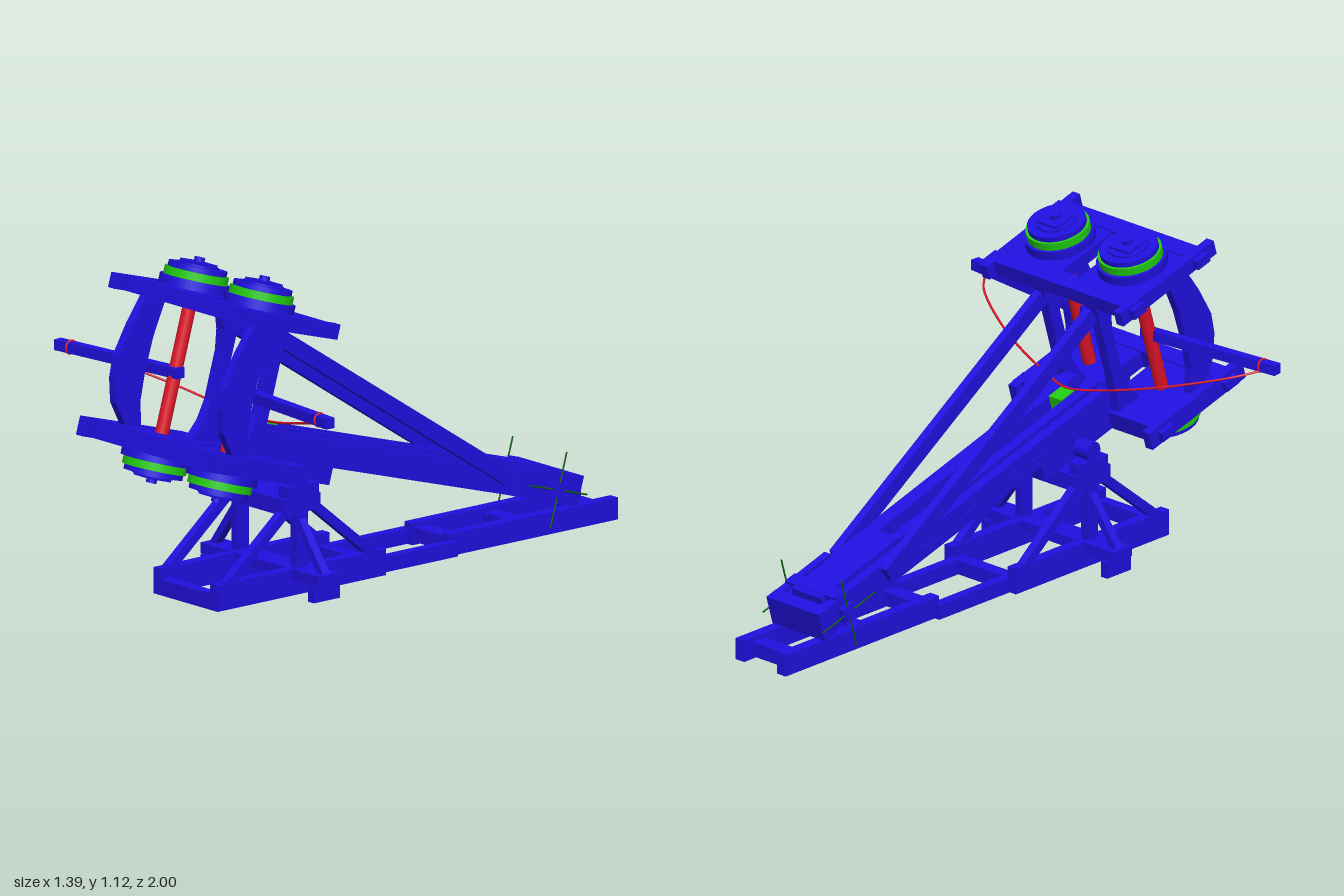
import * as THREE from 'three';

const blue = new THREE.MeshStandardMaterial({ color: 0x2010e0 });
const green = new THREE.MeshStandardMaterial({ color: 0x22cc11 });
const darkGreen = new THREE.MeshStandardMaterial({ color: 0x0a6010 });
const red = new THREE.MeshStandardMaterial({ color: 0xe01428 });

function add(parent, name, geometry, material = blue) {
  const mesh = new THREE.Mesh(geometry, material);
  mesh.name = name;
  parent.add(mesh);
  return mesh;
}

// Box given by its extents on each axis
function box(parent, name, [x0, x1], [y0, y1], [z0, z1], material) {
  const mesh = add(parent, name, new THREE.BoxGeometry(x1 - x0, y1 - y0, z1 - z0), material);
  mesh.position.set((x0 + x1) / 2, (y0 + y1) / 2, (z0 + z1) / 2);
  return mesh;
}

// The same box on the left and the right
function pair(parent, name, [x0, x1], y, z, material) {
  box(parent, name + 'Left', [x0, x1], y, z, material);
  box(parent, name + 'Right', [-x1, -x0], y, z, material);
}

// Straight timber between two points
function beam(parent, name, a, b, w, h) {
  const p = new THREE.Vector3(...a), q = new THREE.Vector3(...b);
  const mesh = add(parent, name, new THREE.BoxGeometry(w, h, p.distanceTo(q)));
  mesh.position.copy(p).lerp(q, 0.5);
  mesh.lookAt(q);
}

function cylinder(parent, name, r, y0, y1, x, z, material, sides = 32) {
  const mesh = add(parent, name, new THREE.CylinderGeometry(r, r, y1 - y0, sides), material);
  mesh.position.set(x, (y0 + y1) / 2, z);
  return mesh;
}

// Upright board cut from a side profile of [z, y] points
function board(parent, name, points, x0, x1) {
  const shape = new THREE.Shape(points.map(p => new THREE.Vector2(...p)));
  const mesh = add(parent, name, new THREE.ExtrudeGeometry(shape, { depth: x1 - x0, bevelEnabled: false }));
  mesh.rotation.y = -Math.PI / 2;
  mesh.position.x = x1;
}

function buildBase(root) {
  const base = new THREE.Group();
  base.name = 'base';
  root.add(base);
  pair(base, 'frontRail', [0.125, 0.163], [0, 0.09], [0.06, 0.8]);
  pair(base, 'middleRail', [0.1, 0.135], [0, 0.052], [-0.28, 0.08]);
  pair(base, 'rearRail', [0.075, 0.115], [0, 0.075], [-1, -0.26]);
  box(base, 'frontCrosspiece', [-0.163, 0.163], [0, 0.055], [0.76, 0.8]);
  box(base, 'middleCrosspiece', [-0.163, 0.163], [0, 0.05], [0.06, 0.11]);
  for (const z of [-0.3, -0.6, -0.93])
    box(base, 'rearCrosspiece', [-0.08, 0.08], [0.01, 0.06], [z - 0.03, z + 0.03]);

  // Outrigger with feet
  box(base, 'outrigger', [-0.3, 0.3], [0.055, 0.092], [0.385, 0.475]);
  pair(base, 'outriggerFoot', [0.258, 0.287], [0, 0.056], [0.37, 0.485]);

  // Stand: posts, struts and the head that carries the pivot
  pair(base, 'standPost', [0.135, 0.165], [0.09, 0.3], [0.405, 0.455]);
  box(base, 'standHead', [-0.165, 0.165], [0.28, 0.335], [0.35, 0.515]);
  pair(base, 'pivotCheek', [0.125, 0.168], [0.28, 0.375], [0.36, 0.5]);
  for (const s of [-1, 1]) {
    beam(base, 'frontStrut', [s * 0.147, 0.08, 0.75], [s * 0.147, 0.3, 0.48], 0.03, 0.032);
    beam(base, 'rearStrut', [s * 0.147, 0.08, 0.11], [s * 0.147, 0.3, 0.38], 0.03, 0.032);
    beam(base, 'sideStrut', [s * 0.28, 0.08, 0.43], [s * 0.155, 0.25, 0.43], 0.03, 0.026);
  }
  const pivot = cylinder(base, 'pivot', 0.033, -0.168, 0.168, 0, 0.43, blue, 20);
  pivot.rotation.z = Math.PI / 2;
  pivot.position.y = 0.405;
}

function buildStock(tilted) {
  const stock = new THREE.Group();
  stock.name = 'stock';
  tilted.add(stock);
  pair(stock, 'stockSide', [0.065, 0.105], [0.03, 0.12], [-1.28, 0.175]);
  box(stock, 'stockFloor', [-0.07, 0.07], [0.03, 0.075], [-1.28, 0.175]);
  pair(stock, 'grooveRail', [0.03, 0.068], [0.07, 0.136], [-1.2, 0.175]);
  box(stock, 'slider', [-0.068, 0.068], [0.09, 0.14], [-1.22, -0.83]);
  box(stock, 'headBlock', [-0.105, 0.105], [-0.028, 0.03], [-0.185, 0.16]);
  box(stock, 'claw', [-0.028, 0.028], [0.075, 0.14], [0.03, 0.1], green);
  for (const z of [-0.2, -0.31, -0.53, -0.75])
    box(stock, 'stockTenon', [-0.11, 0.11], [0.055, 0.075], [z - 0.028, z + 0.028]);

  // Windlass with crossed hand spikes
  box(stock, 'tailBlock', [-0.12, 0.12], [0.027, 0.133], [-1.29, -1.24]);
  pair(stock, 'windlassCheek', [0.09, 0.118], [0.03, 0.133], [-1.25, -1.0]);
  box(stock, 'windlass', [-0.14, 0.14], [0.05, 0.1], [-1.2, -1.15]);
  box(stock, 'windlassCap', [-0.115, 0.115], [0.12, 0.142], [-1.2, -1.15]);
  for (const x of [-0.137, 0.137])
    for (const a of [0, Math.PI / 2])
      cylinder(stock, 'handSpike', 0.003, -0.055, 0.205, x, -1.175, darkGreen, 6).rotation.x = a;
}

function buildFrame(tilted) {
  const frame = new THREE.Group();
  frame.name = 'springFrame';
  tilted.add(frame);

  // Lower and upper decks, each with washers facing away from the frame
  for (const [y0, y1, dir, label] of [[-0.028, 0.037, -1, 'lower'], [0.474, 0.526, 1, 'upper']]) {
    const mid = (y0 + y1) / 2;
    pair(frame, label + 'SideBeam', [0.29, 0.322], [y0, y1], [0.12, 0.588]);
    pair(frame, label + 'Deck', [0.04, 0.29], [y0 + 0.004, y1 - 0.004], [0.17, 0.53]);
    for (const z of [0.187, 0.507]) {
      box(frame, label + 'CrossBeam', [-0.29, 0.29], [y0, y1], [z - 0.033, z + 0.033]);
      box(frame, label + 'Tenon', [-0.343, 0.343], [mid - 0.017, mid + 0.017], [z - 0.03, z + 0.03]);
    }
    for (const x of [-0.165, 0.165]) {
      const washer = new THREE.Group();
      washer.name = label + 'Washer';
      washer.position.set(x, dir > 0 ? y1 : y0, 0.355);
      if (dir < 0) washer.rotation.z = Math.PI;
      frame.add(washer);
      cylinder(washer, 'washerBase', 0.12, 0, 0.032, 0, 0);
      cylinder(washer, 'washerRing', 0.109, 0.032, 0.06, 0, 0, green);
      cylinder(washer, 'washerTop', 0.1, 0.06, 0.078, 0, 0);
      cylinder(washer, 'washerCap', 0.07, 0.078, 0.084, 0, 0);
      box(washer, 'washerPlate', [-0.045, 0.045], [0.08, 0.092], [-0.045, 0.045]);
      cylinder(washer, 'washerKnob', 0.018, 0.09, 0.107, 0, 0, blue, 16);
    }
  }

  // Curved outer uprights, flared inner uprights, twisted cord springs
  const outer = [[0.365, 0.03], [0.435, 0.03], [0.5, 0.1], [0.528, 0.18], [0.534, 0.255],
    [0.505, 0.37], [0.465, 0.48], [0.38, 0.48], [0.4, 0.34], [0.403, 0.22], [0.395, 0.12]];
  const inner = [[0.17, 0.03], [0.275, 0.03], [0.24, 0.1], [0.226, 0.17], [0.226, 0.34],
    [0.24, 0.41], [0.27, 0.48], [0.17, 0.48], [0.18, 0.4], [0.18, 0.1]];
  for (const s of [-1, 1]) {
    board(frame, 'outerUpright', outer, s > 0 ? 0.257 : -0.288, s > 0 ? 0.288 : -0.257);
    board(frame, 'innerUpright', inner, s > 0 ? 0.1 : -0.138, s > 0 ? 0.138 : -0.1);
    cylinder(frame, 'cordSpring', 0.023, -0.02, 0.51, s * 0.165, 0.355, red, 16);
  }
}

export function createModel() {
  const root = new THREE.Group();
  root.name = 'boltThrower';
  buildBase(root);

  // Stock and spring frame tilt together about the pivot
  const tilted = new THREE.Group();
  tilted.name = 'tiltedAssembly';
  tilted.position.set(0, 0.41, 0.43);
  tilted.rotation.x = -0.284;
  root.add(tilted);
  buildStock(tilted);
  buildFrame(tilted);

  for (const s of [-1, 1]) {
    beam(root, 'diagonalBrace', [s * 0.115, 0.87, 0.475], [s * 0.115, 0.225, -0.517], 0.03, 0.055);
    beam(root, 'throwingArm', [s * 0.13, 0.745, 0.708], [s * 0.692, 0.745, 0.764], 0.034, 0.036);
    const wrap = add(root, 'stringWrap', new THREE.TorusGeometry(0.022, 0.004, 6, 16), red);
    wrap.position.set(s * 0.63, 0.745, 0.758);
    wrap.rotation.y = Math.PI / 2;
  }

  // Bowstring from tip to tip through the claw
  const half = [[0.63, 0.728, 0.75], [0.57, 0.708, 0.68], [0.35, 0.645, 0.565], [0.12, 0.59, 0.5]];
  const points = [...half.map(([x, y, z]) => [-x, y, z]), [0, 0.575, 0.475], ...half.slice().reverse()]
    .map(p => new THREE.Vector3(...p));
  add(root, 'bowstring', new THREE.TubeGeometry(new THREE.CatmullRomCurve3(points), 64, 0.004, 6), red);
  return root;
}
